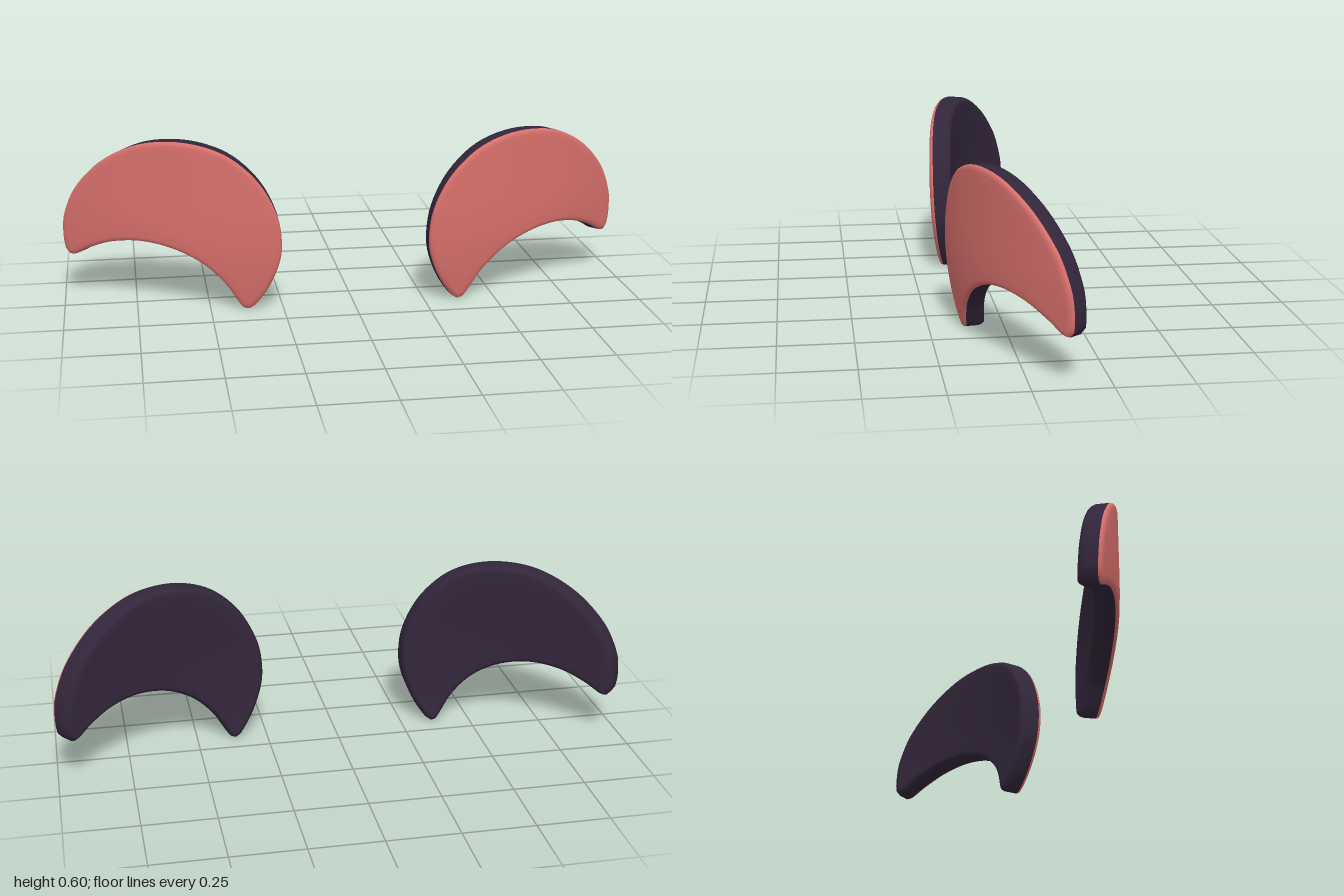
import * as THREE from 'three';

const M = 64;        // samples along each edge of the crescent
const N = 2 * M;     // samples round the whole outline
const K = 10;        // rows across each face

// Crescent outline, from the low inner tip to the outer tip
const upperEdge = [[0.368, 0], [0.35, 0.012], [0.305, 0.075], [0.268, 0.16], [0.256, 0.24], [0.272, 0.345],
  [0.33, 0.455], [0.42, 0.54], [0.52, 0.583], [0.63, 0.595], [0.745, 0.575], [0.86, 0.51], [0.95, 0.41],
  [0.994, 0.31], [1.003, 0.24], [0.998, 0.178], [0.982, 0.154]];
const lowerEdge = [[0.982, 0.154], [0.96, 0.157], [0.91, 0.19], [0.83, 0.224], [0.73, 0.236], [0.625, 0.217],
  [0.53, 0.17], [0.455, 0.1], [0.405, 0.025], [0.388, 0.004], [0.368, 0]];

// Rim profile from front to back: inset from the outline, depth below the front
const rim = [[0.016, 0], [0.007, 0.002], [0.002, 0.006], [0, 0.012], [0, 0.035], [0, 0.056],
  [0.004, 0.068], [0.01, 0.076], [0.018, 0.08]];
const frontRings = 3; // rim bands that share the front colour

function sample(points) {
  const curve = new THREE.SplineCurve(points.map(p => new THREE.Vector2(...p)));
  return curve.getSpacedPoints(M).slice(0, M);
}

// Wraps a flat point around the curved body, sunk by a depth along the normal
function bend(x, y, depth) {
  const t = x - 0.28;
  const slope = -0.05 - t;
  const len = Math.hypot(slope, 1);
  const low = Math.max(0, 0.35 - y);
  const z = 0.185 - 0.05 * t - 0.5 * t * t - 0.3 * low * low;
  return [x + depth * slope / len, y, z - depth / len];
}

function crescentGeometry(side) {
  const outline = [...sample(upperEdge), ...sample(lowerEdge)];
  const positions = [], front = [], back = [];

  const addVertex = (x, y, depth) => {
    const p = bend(x, y, depth);
    positions.push(p[0] * side, p[1], p[2]);
    return positions.length / 3 - 1;
  };
  const addTriangle = (list, a, b, c) => {
    if (a === b || b === c || a === c) return;
    if (side > 0) list.push(a, b, c);
    else list.push(a, c, b);
  };

  // Rounded rim
  const flat = [], rings = [];
  for (const [inset, depth] of rim) {
    const loop = outline.map((p, i) => {
      const d = outline[(i + 1) % N].clone().sub(outline[(i + N - 1) % N]).normalize();
      return new THREE.Vector2(p.x + d.y * inset, p.y - d.x * inset);
    });
    flat.push(loop);
    rings.push(loop.map(p => addVertex(p.x, p.y, depth)));
  }
  for (let j = 0; j < rim.length - 1; j++) {
    const list = j < frontRings ? front : back;
    for (let i = 0; i < N; i++) {
      const n = (i + 1) % N;
      addTriangle(list, rings[j][i], rings[j][n], rings[j + 1][i]);
      addTriangle(list, rings[j][n], rings[j + 1][n], rings[j + 1][i]);
    }
  }

  // Curved faces spanning the upper and lower edges
  const addFace = (j, list, flip) => {
    const rows = [];
    for (let i = 0; i <= M; i++) {
      const o = (N - i) % N, row = [];
      for (let k = 0; k <= K; k++) {
        if (k === 0 || i === 0 || i === M) row.push(rings[j][i]);
        else if (k === K) row.push(rings[j][o]);
        else {
          const p = flat[j][i].clone().lerp(flat[j][o], k / K);
          row.push(addVertex(p.x, p.y, rim[j][1]));
        }
      }
      rows.push(row);
    }
    for (let i = 0; i < M; i++) {
      for (let k = 0; k < K; k++) {
        const a = rows[i][k], b = rows[i][k + 1], c = rows[i + 1][k], d = rows[i + 1][k + 1];
        if (flip) {
          addTriangle(list, a, c, b);
          addTriangle(list, b, c, d);
        } else {
          addTriangle(list, a, b, c);
          addTriangle(list, b, d, c);
        }
      }
    }
  };
  addFace(0, front, false);
  addFace(rim.length - 1, back, true);

  const geometry = new THREE.BufferGeometry();
  geometry.setAttribute('position', new THREE.Float32BufferAttribute(positions, 3));
  geometry.setIndex([...front, ...back]);
  geometry.addGroup(0, front.length, 0);
  geometry.addGroup(front.length, back.length, 1);
  geometry.computeVertexNormals();
  return geometry;
}

export function createModel() {
  const coral = new THREE.MeshStandardMaterial({ color: 0xd9706c });
  coral.name = 'coral front';
  const darkPlum = new THREE.MeshStandardMaterial({ color: 0x32263a });
  darkPlum.name = 'dark plum back';

  const group = new THREE.Group();
  group.name = 'crescentPair';
  for (const [side, name] of [[1, 'leftCrescent'], [-1, 'rightCrescent']]) {
    const mesh = new THREE.Mesh(crescentGeometry(side), [coral, darkPlum]);
    mesh.name = name;
    group.add(mesh);
  }
  return group;
}
